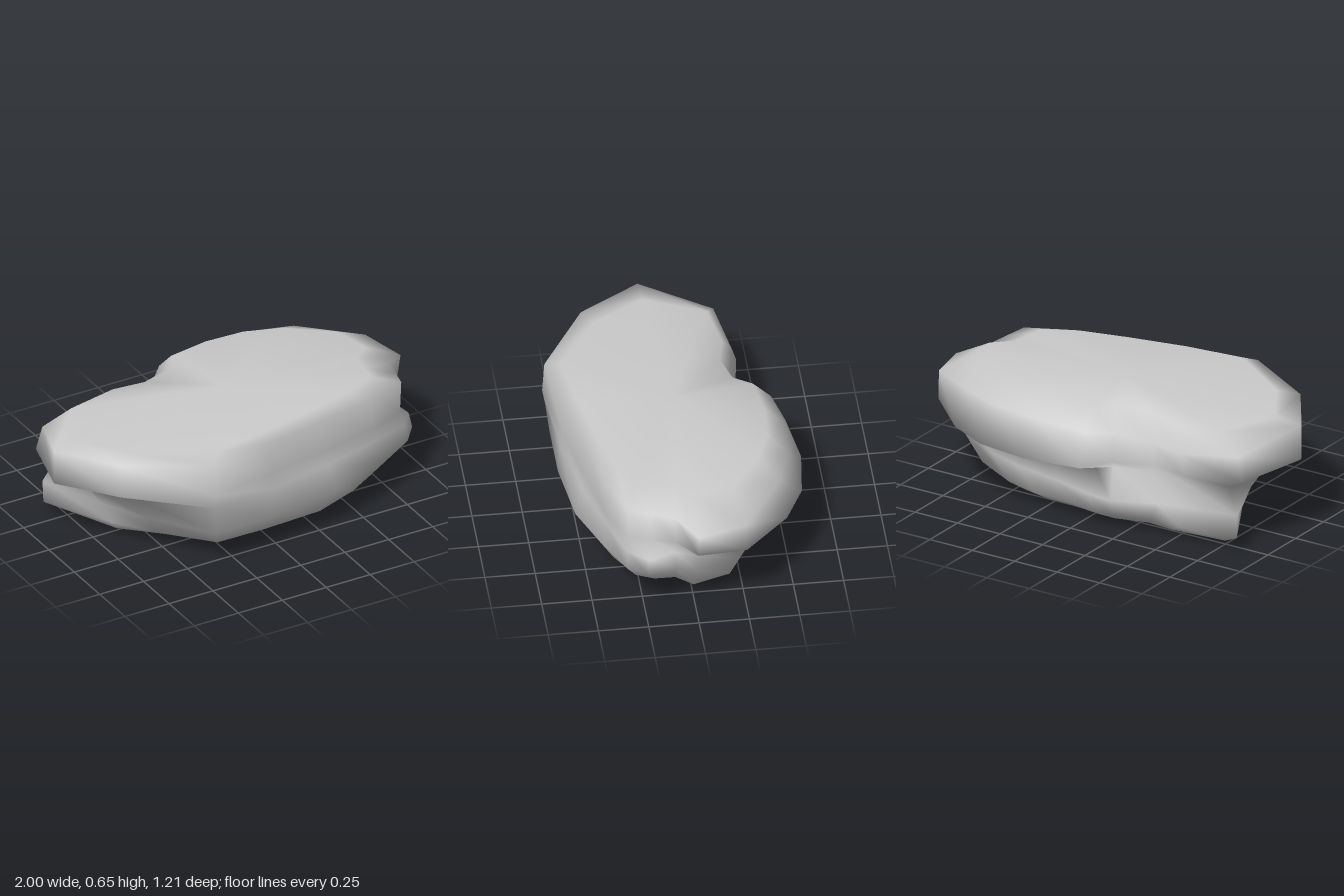
import * as THREE from 'three';

// Plan outline of the rock as [x, z], from its right end round the front
const outline = [
  [-1, .05], [-.8, .36], [-.4, .6], [-.05, .545], [.3, .48], [.6, .42], [.82, .33],
  [.85, .22], [.88, .1], [1, 0], [.96, -.25], [.7, -.48], [.48, -.58], [.2, -.61],
  [-.1, -.57], [-.2, -.43], [-.4, -.36], [-.6, -.39], [-.89, -.32],
];

const bell = (i, at, width) => Math.exp(-(((i - at) / width) ** 2));

// Layers from top to bottom: a height rule and the outline's scale towards each side
const layers = [
  { // plateau
    y: (x, z, i) => .632 - .06 * Math.max(0, -x - .25) - .04 * Math.max(0, x - .6) - .02 * bell(i, 16.5, 2.6),
    front: .87, back: .71, plusX: .8, minusX: .85,
  },
  { // upper rim, lower along the back right
    y: (x, z, i) => .58 + .03 * z - .3 * Math.max(0, x - .8) - .1 * bell(i, 16.5, 2.6),
    front: .98, back: .87, plusX: 1, minusX: 1,
  },
  { // overhanging ledge
    y: (x, z) => .395 + .06 * z,
    front: 1, back: 1, plusX: .98, minusX: 1,
  },
  { // notch under the ledge
    y: (x, z) => .33 + .03 * z, bumps: [.27, .18, .04, -.14, .05],
    front: 1, back: .6, plusX: .87, minusX: .92,
  },
  { // lower bulge
    y: (x) => .19 + .07 * Math.max(0, x), bumps: [.46, .18, .14, -.24, .12],
    front: .97, back: .69, plusX: .9, minusX: .9,
  },
  { // foot
    y: () => .07, bumps: [.33, .06, .16, -.2, .2],
    front: .78, back: .6, plusX: .78, minusX: .82,
  },
  { // underside
    y: (x, z) => .025 - .25 * Math.max(0, x) * Math.max(0, z), bumps: [.28, .06, .15, -.15, .18],
    front: .55, back: .5, plusX: .68, minusX: .75,
  },
];

// Local swellings as [outline position, width]: back, left side, front, front right, back right
const swellings = [[15.3, 1.2], [7, 1.3], [4, 1.2], [.5, 1], [17.8, 1.4]];

function layerScale(layer, i) {
  const [x, z] = outline[i];
  const xx = x * x, zz = (z * z) / .36;
  const sideways = x > 0 ? layer.plusX : layer.minusX;
  const forward = z > 0 ? layer.front : layer.back;
  let scale = (sideways * xx + forward * zz) / (xx + zz);
  (layer.bumps ?? []).forEach((amount, b) => {
    scale += amount * bell(i, ...swellings[b]);
  });
  return scale;
}

function buildRock() {
  const n = outline.length, pos = [], index = [];
  for (const layer of layers) {
    outline.forEach(([px, pz], i) => {
      const s = layerScale(layer, i);
      pos.push(px * s, layer.y(px * s, pz * s, i), pz * s);
    });
  }
  const top = pos.length / 3, bottom = top + 1;
  pos.push(0, .64, 0, 0, .03, 0);

  // Skin between neighbouring layers, then close both ends
  const last = (layers.length - 1) * n;
  for (let i = 0; i < n; i++) {
    const j = (i + 1) % n;
    for (let u = 0; u < last; u += n) {
      const l = u + n;
      index.push(u + i, l + i, l + j, u + i, l + j, u + j);
    }
    index.push(top, i, j, bottom, last + j, last + i);
  }
  const geometry = new THREE.BufferGeometry();
  geometry.setAttribute('position', new THREE.Float32BufferAttribute(pos, 3));
  geometry.setIndex(index);
  geometry.computeVertexNormals();
  return geometry;
}

export function createModel() {
  const group = new THREE.Group();
  group.name = 'flatRock';
  const rock = new THREE.Mesh(buildRock(), new THREE.MeshStandardMaterial({ color: 0xcccccc }));
  rock.name = 'rock';
  group.add(rock);
  return group;
}
